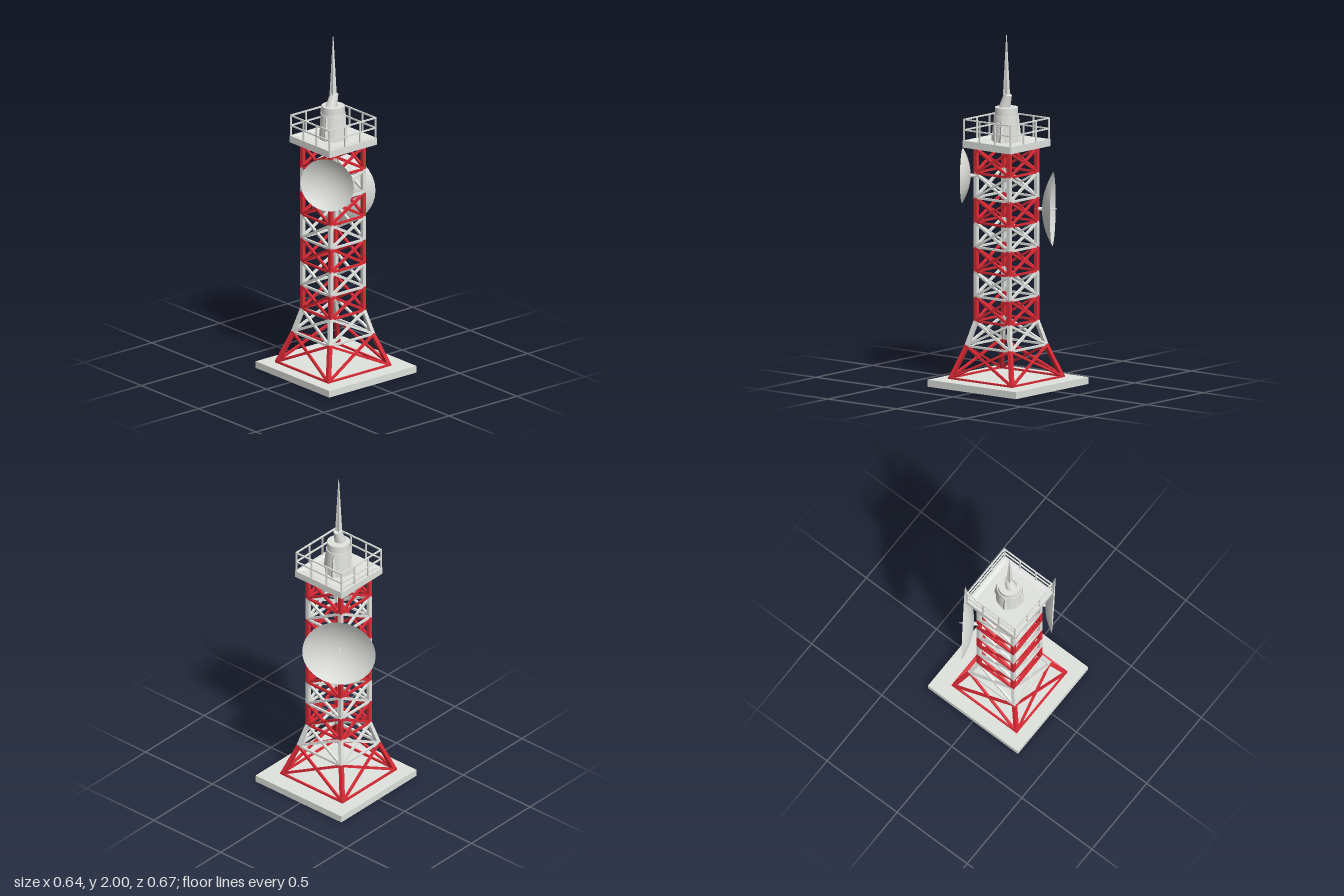
import * as THREE from 'three';

const V = (x, y, z) => new THREE.Vector3(x, y, z);
const UP = V(0, 1, 0);

export function createModel() {
  const mat = (name, color, side = THREE.FrontSide) => {
    const m = new THREE.MeshStandardMaterial({ color, side });
    m.name = name;
    return m;
  };
  const red = mat('signal red', 0xdc2a35);
  const white = mat('pale grey', 0xe2e4e0);
  const concrete = mat('concrete grey', 0xe0e3de);
  const dishGrey = mat('dish grey', 0xe2e4e0, THREE.DoubleSide);

  const model = new THREE.Group();
  model.name = 'radioTower';
  const tower = new THREE.Group();
  tower.name = 'tower';
  tower.position.set(-0.016, 0, 0.008);
  model.add(tower);

  const add = (parent, name, geo, material, x = 0, y = 0, z = 0) => {
    const mesh = new THREE.Mesh(geo, material);
    mesh.name = name;
    mesh.position.set(x, y, z);
    parent.add(mesh);
    return mesh;
  };
  const flat = (geo) => {
    const g = geo.toNonIndexed();
    g.computeVertexNormals();
    return g;
  };
  // square bar between two points, optionally lengthened at both ends
  const beam = (parent, name, a, b, w, material, extra = 0) => {
    const d = b.clone().sub(a);
    const mesh = add(parent, name, new THREE.BoxGeometry(w, d.length() + extra, w), material);
    mesh.position.copy(a).add(b).multiplyScalar(0.5);
    mesh.quaternion.setFromUnitVectors(UP, d.normalize());
    return mesh;
  };
  const corner = (i, half, y) => {
    const s = [[1, 1], [1, -1], [-1, -1], [-1, 1]][i % 4];
    return V(s[0] * half, y, s[1] * half);
  };

  // ground slab
  add(model, 'baseSlab', new THREE.BoxGeometry(0.642, 0.04, 0.642), concrete, 0, 0.02, 0.014);

  // lattice: [height, half width] of each level, panels alternate in colour
  const levels = [[0.044, 0.222], [0.228, 0.157]];
  for (let i = 0; i < 8; i++) levels.push([0.368 + i * 0.141, 0.121]);
  const out = 0.005; // rings and braces sit on the outer faces of the legs
  levels.forEach(([y, h], n) => {
    const colour = n % 2 ? white : red;
    const section = new THREE.Group();
    section.name = 'latticeSection' + n;
    tower.add(section);
    const next = levels[n + 1];
    for (let i = 0; i < 4; i++) {
      const a = corner(i, h + out, y), b = corner(i + 1, h + out, y);
      beam(section, 'ring', a, b, 0.012, colour, 0.012);
      if (!next) continue;
      const [y2, h2] = next;
      beam(section, 'leg', corner(i, h, y), corner(i, h2, y2), 0.022, colour);
      beam(section, 'brace', a, corner(i + 1, h2 + out, y2), 0.013, colour);
      beam(section, 'brace', b, corner(i, h2 + out, y2), 0.013, colour);
    }
  });

  // square platform with a raised, bevelled rim
  const rim = [[0, 1.36], [0.175, 1.36], [0.175, 1.4], [0.16, 1.4], [0.139, 1.394], [0, 1.394]]
    .map(([r, y]) => new THREE.Vector2(r * Math.SQRT2, y));
  add(tower, 'platform', flat(new THREE.LatheGeometry(rim, 4, Math.PI / 4)), white);

  // railing
  const railing = new THREE.Group();
  railing.name = 'railing';
  tower.add(railing);
  for (let i = 0; i < 4; i++) {
    for (const y of [1.46, 1.52]) {
      beam(railing, 'rail', corner(i, 0.169, y), corner(i + 1, 0.169, y), 0.008, white, 0.008);
    }
    for (let k = 0; k < 3; k++) {
      const foot = corner(i, 0.169, 1.398).lerp(corner(i + 1, 0.169, 1.398), k / 3);
      beam(railing, 'post', foot, foot.clone().setY(1.52), 0.008, white);
    }
  }

  // antenna housing with a four-cornered skirt
  add(tower, 'housing', new THREE.CylinderGeometry(0.071, 0.078, 0.15, 24), white, 0, 1.468, 0);
  add(tower, 'housingCap', new THREE.CylinderGeometry(0.066, 0.066, 0.048, 24), white, 0, 1.564, 0);
  add(tower, 'skirt', flat(new THREE.CylinderGeometry(0.076, 0.092, 0.14, 4)), white, 0, 1.464, 0).rotation.y = 0.32;

  // leaning socket under the mast
  const socket = add(tower, 'mastSocket', new THREE.CylinderGeometry(0.023, 0.034, 0.085, 12), white, -0.002, 1.62, 0);
  socket.rotation.z = -0.3;

  // tapered mast with a four-point star section
  const mastGeo = flat(new THREE.CylinderGeometry(0.002, 0.022, 0.38, 8, 1));
  const p = mastGeo.attributes.position;
  for (let i = 0; i < p.count; i++) {
    const a = Math.atan2(p.getX(i), p.getZ(i)) / (Math.PI / 4);
    const k = Math.abs(Math.round(a)) % 2 ? 0.6 : 1;
    p.setX(i, p.getX(i) * k);
    p.setZ(i, p.getZ(i) * k);
  }
  mastGeo.computeVertexNormals();
  add(tower, 'mast', mastGeo, white, 0, 1.81, 0).rotation.y = Math.PI / 4;

  // dish: bowl, bracket and optional feed horn; local +y is the facing direction
  const dish = (name, radius, depth, centre, facing, hasFeed) => {
    const g = new THREE.Group();
    g.name = name;
    g.position.copy(centre);
    g.quaternion.setFromUnitVectors(UP, facing.normalize());
    model.add(g);
    const profile = [];
    for (let i = 0; i <= 8; i++) {
      const t = i / 8;
      profile.push(new THREE.Vector2(radius * t, depth * (t * t - 1)));
    }
    add(g, 'bowl', new THREE.LatheGeometry(profile, 32), dishGrey);
    add(g, 'bracket', new THREE.CylinderGeometry(0.012, 0.009, 0.04, 8), white, 0, -depth - 0.021, 0);
    if (!hasFeed) return;
    add(g, 'feedArm', new THREE.CylinderGeometry(0.002, 0.006, depth + 0.025, 8), white, 0, (0.025 - depth) / 2, 0);
  };
  dish('largeDish', 0.208, 0.06, V(0.179, 1.003, -0.165), V(0.82, 0, -0.573), true);
  dish('smallDish', 0.156, 0.045, V(-0.2, 1.198, 0.174), V(-0.83, 0, 0.56), false);

  return model;
}
